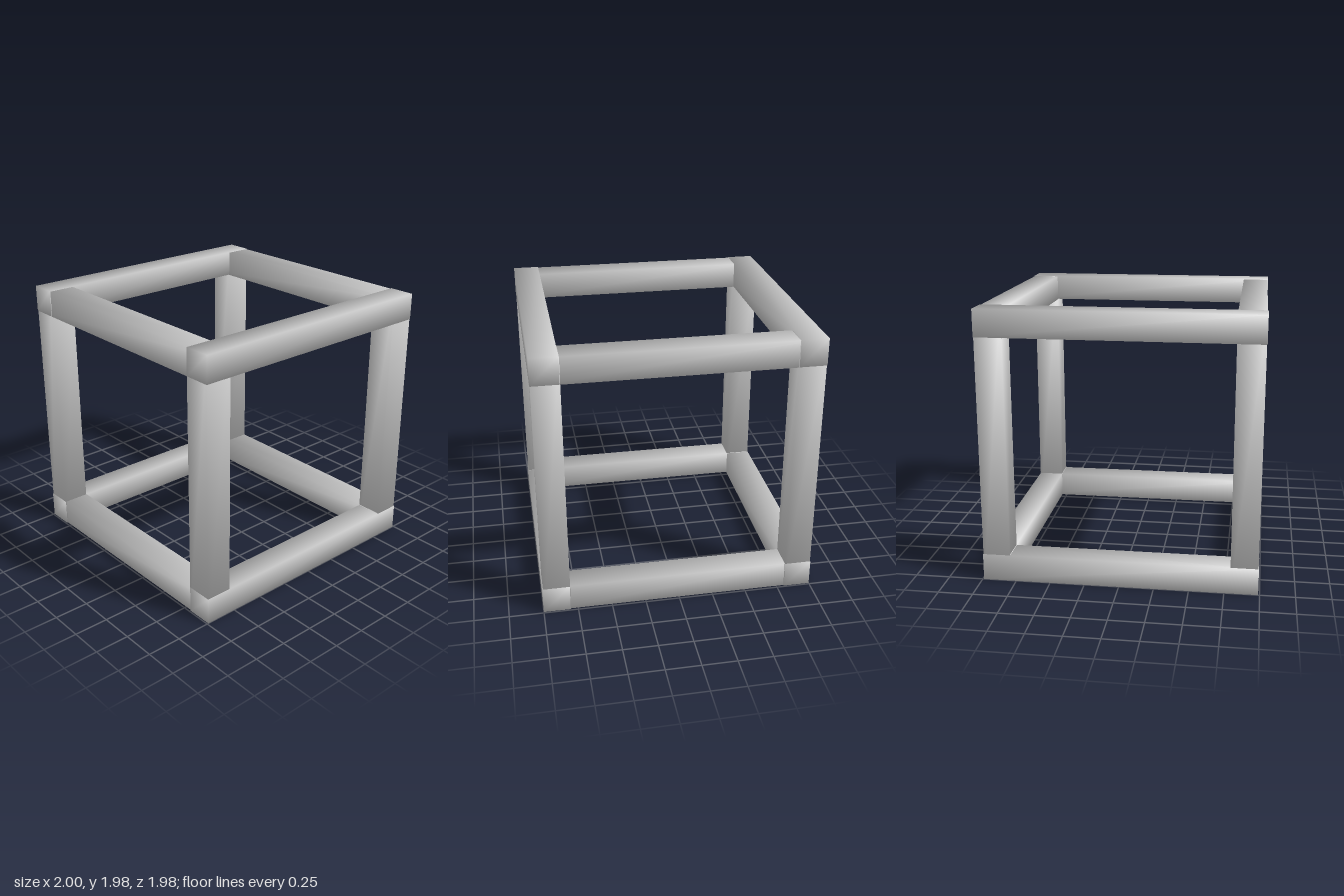
import * as THREE from 'three';

const T = 0.195; // beam thickness
const H = 1.98; // overall height

// Square beam whose corner normals point diagonally outwards, so it shades softly
function softBeam(name, material, w, h, d, x, y, z) {
  const geometry = new THREE.BoxGeometry(w, h, d);
  const p = geometry.attributes.position;
  const k = 1 / Math.sqrt(3);
  for (let i = 0; i < p.count; i++) {
    geometry.attributes.normal.setXYZ(
      i, Math.sign(p.getX(i)) * k, Math.sign(p.getY(i)) * k, Math.sign(p.getZ(i)) * k);
  }
  const mesh = new THREE.Mesh(geometry, material);
  mesh.name = name;
  mesh.position.set(x, y, z);
  return mesh;
}

export function createModel() {
  const group = new THREE.Group();
  group.name = 'cubeFrame';
  const material = new THREE.MeshStandardMaterial({ color: 0xcccccc });
  const inset = 0.003; // keeps overlapping beam faces apart at the corners
  const mid = H / 2;

  for (const a of [-1, 1]) {
    for (const b of [-1, 1]) {
      const side = a > 0 ? 'left' : 'right';
      const level = b > 0 ? 'Top' : 'Bottom';
      const end = b > 0 ? 'Front' : 'Back';

      // Beams running front to back, exposed at the corners
      group.add(softBeam(`${side}${level}Rail`, material,
        T, T, 1.98, a * (1 - T / 2), mid + b * (mid - T / 2), 0));

      // Upright posts
      group.add(softBeam(`${side}${end}Post`, material,
        T, H - 2 * inset, T, a * (1 - inset - T / 2), mid, b * (0.987 - T / 2)));

      // Beams running across the front and back
      group.add(softBeam(`${a > 0 ? 'front' : 'back'}${level}Crossbeam`, material,
        2 - 4 * inset, T, T, 0, mid + b * (mid - inset - T / 2), a * (0.985 - T / 2)));
    }
  }
  return group;
}
